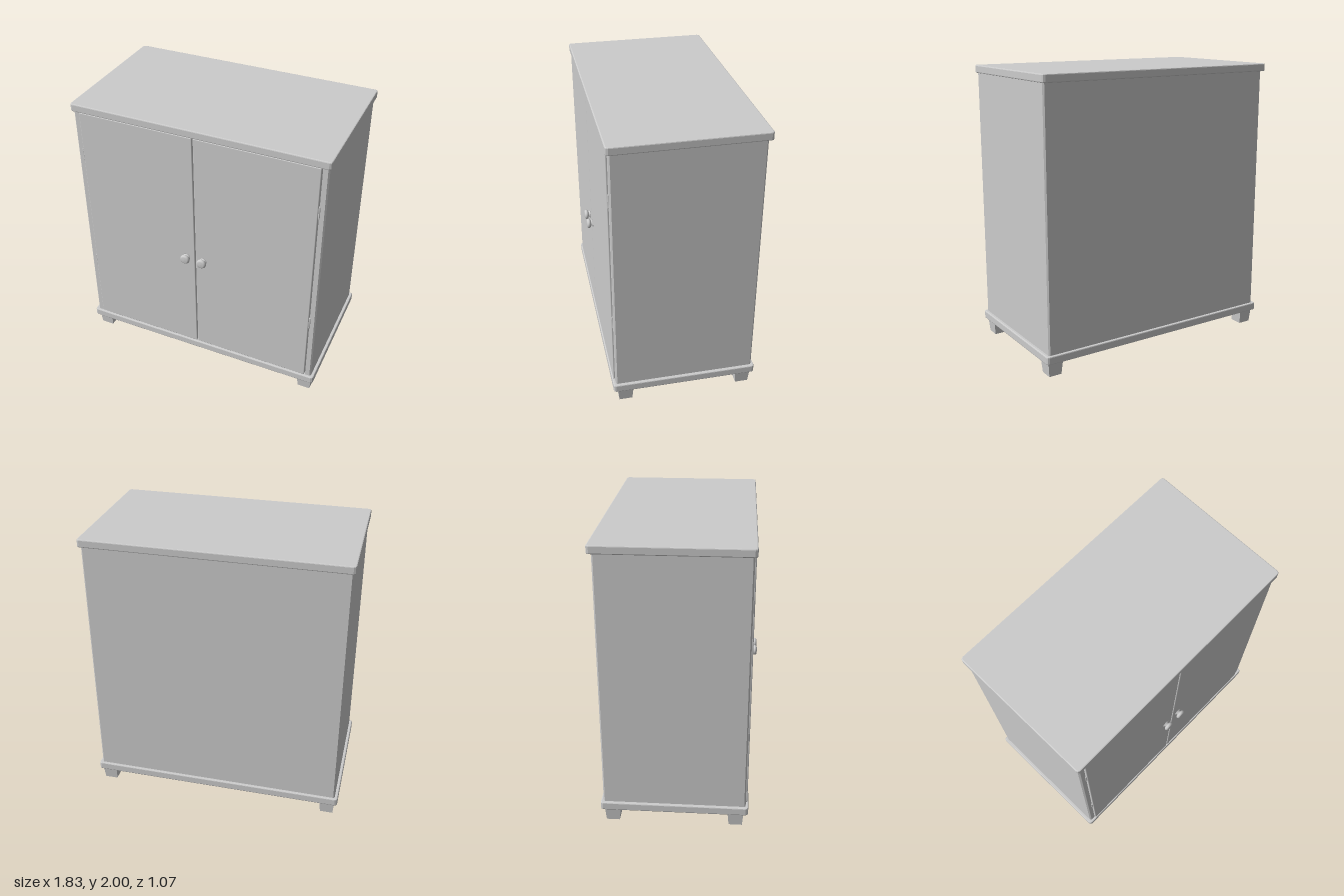
import * as THREE from 'three';
import { RoundedBoxGeometry } from 'three/addons/geometries/RoundedBoxGeometry.js';

const paint = new THREE.MeshStandardMaterial({ color: 0xcccccc });
paint.name = 'light grey paint';

// Extrudes a plan outline of [x, z] points upwards from y0 to y1, with an optional edge bevel.
function extrudePlan(points, y0, y1, bevel = 0) {
  const shape = new THREE.Shape(points.map(([x, z]) => new THREE.Vector2(x, -z)));
  const geometry = new THREE.ExtrudeGeometry(shape, {
    depth: y1 - y0 - 2 * bevel,
    bevelEnabled: bevel > 0,
    bevelThickness: bevel,
    bevelSize: bevel,
    bevelOffset: -bevel,
    bevelSegments: 2,
  });
  return geometry.rotateX(-Math.PI / 2).translate(0, y0 + bevel, 0);
}

// Rectangle with clipped corners, as plan points.
function clippedRect(x0, x1, z0, z1, c) {
  const k = c * 0.3;
  return [
    [x0 + c, z1], [x1 - c, z1], [x1 - k, z1 - k], [x1, z1 - c],
    [x1, z0 + c], [x1 - k, z0 + k], [x1 - c, z0], [x0 + c, z0],
    [x0 + k, z0 + k], [x0, z0 + c], [x0, z1 - c], [x0 + k, z1 - k],
  ];
}

export function createModel() {
  const model = new THREE.Group();
  model.name = 'cabinet';

  function add(name, geometry, x = 0, y = 0, z = 0) {
    const mesh = new THREE.Mesh(geometry, paint);
    mesh.name = name;
    mesh.position.set(x, y, z);
    model.add(mesh);
    return mesh;
  }

  // Top and base boards
  add('topBoard', extrudePlan(clippedRect(-0.912, 0.907, -0.535, 0.494, 0.018), 1.945, 2, 0.007));
  add('baseBoard', extrudePlan(clippedRect(-0.919, 0.914, -0.524, 0.494, 0.018), 0.1, 0.157, 0.007));

  // Sides and back in one U-shaped carcass, open at the front
  const [l, r, back, front, c] = [-0.897, 0.892, -0.505, 0.476, 0.01];
  add('carcass', extrudePlan([
    [l, front - c], [l + c, front], [-0.855, front], [-0.855, -0.47],
    [0.849, -0.47], [0.849, front], [r - c, front], [r, front - c],
    [r, back + c], [r - c, back], [l + c, back], [l, back + c],
  ], 0.15, 1.95));

  // Doors, each with a knob and two hinges
  const knobProfile = [
    [0, 0], [0.028, 0], [0.027, 0.005], [0.018, 0.01], [0.018, 0.016], [0.03, 0.019],
    [0.035, 0.025], [0.035, 0.033], [0.03, 0.041], [0.022, 0.044], [0, 0.045],
  ].map(([x, y]) => new THREE.Vector2(x, y));
  const knob = new THREE.LatheGeometry(knobProfile, 24).rotateX(Math.PI / 2);
  const hinge = new THREE.CylinderGeometry(0.006, 0.006, 0.092, 10);

  const doors = [
    { side: 'right', x0: -0.851, x1: -0.018, knobX: -0.082, hingeX: -0.855 },
    { side: 'left', x0: -0.011, x1: 0.844, knobX: 0.045, hingeX: 0.849 },
  ];
  for (const { side, x0, x1, knobX, hingeX } of doors) {
    const panel = new RoundedBoxGeometry(x1 - x0, 1.778, 0.037, 2, 0.006);
    add(side + 'Door', panel, (x0 + x1) / 2, 1.053, 0.4685);
    add(side + 'Knob', knob, knobX, 0.962, 0.486);
    add(side + 'UpperHinge', hinge, hingeX, 1.612, 0.477);
    add(side + 'LowerHinge', hinge, hingeX, 0.673, 0.477);
  }

  // Tapered feet
  const foot = new THREE.CylinderGeometry(0.055 * Math.SQRT2, 0.046 * Math.SQRT2, 0.102, 4, 1)
    .rotateY(Math.PI / 4).toNonIndexed();
  foot.computeVertexNormals();
  for (const [xName, x] of [['Right', -0.843], ['Left', 0.839]]) {
    for (const [zName, z] of [['front', 0.408], ['back', -0.443]]) {
      add(zName + xName + 'Foot', foot, x, 0.051, z);
    }
  }

  return model;
}
